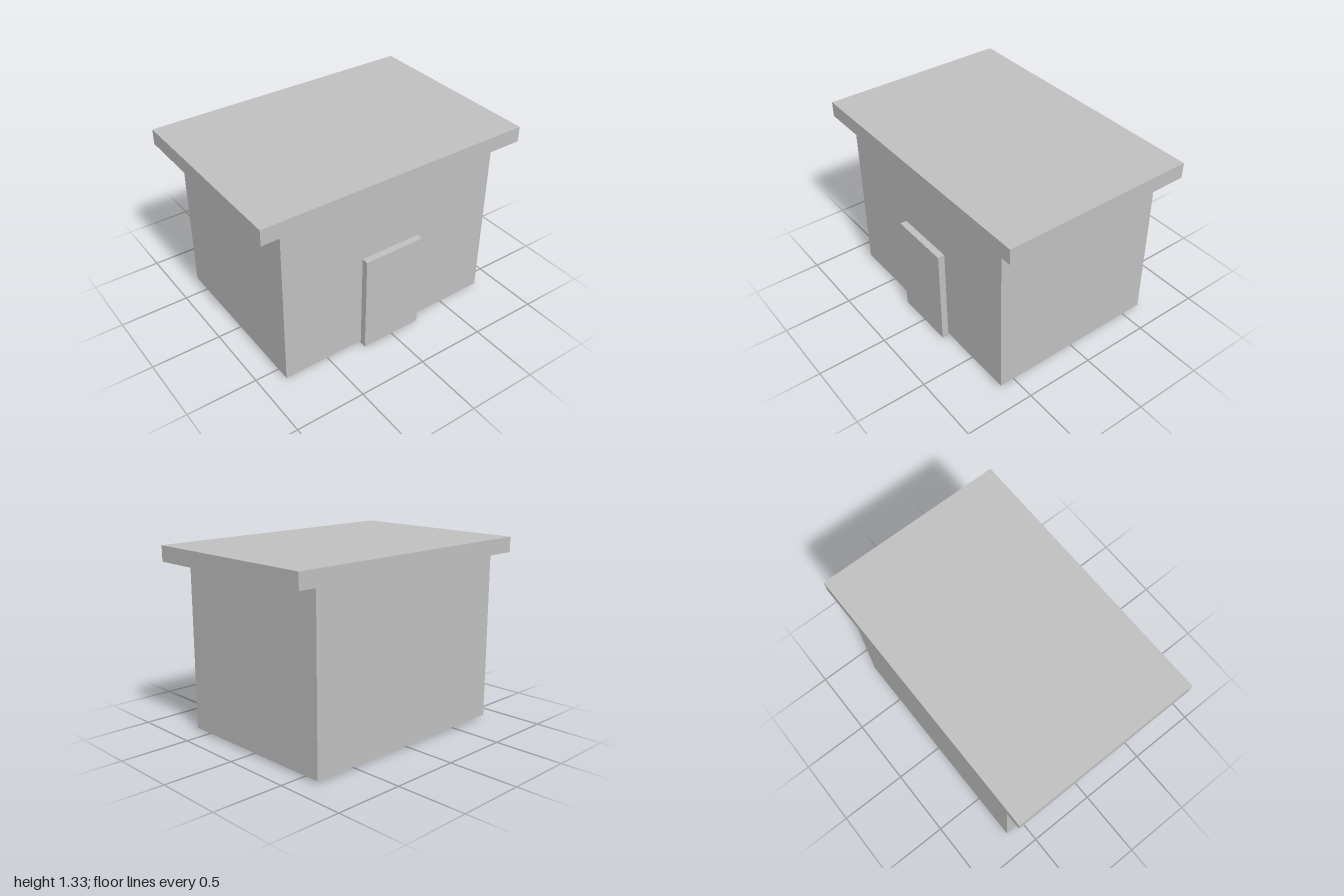
import * as THREE from 'three';

export function createModel() {
  const group = new THREE.Group();
  group.name = 'hut';

  const grey = new THREE.MeshStandardMaterial({ color: 0xc0c0c0 });
  grey.name = 'plain grey';

  // Box given by its minimum and maximum corners
  function addBox(name, min, max) {
    const size = max.map((v, i) => v - min[i]);
    const mesh = new THREE.Mesh(new THREE.BoxGeometry(...size), grey);
    mesh.position.set(...max.map((v, i) => (v + min[i]) / 2));
    mesh.name = name;
    group.add(mesh);
  }

  // Main walls, raised slightly above the ground
  addBox('walls', [-0.64, 0.018, -0.83], [0.614, 1.222, 0.834]);

  // Overhanging flat roof slab
  addBox('roof', [-0.686, 1.22, -1], [0.686, 1.33, 1]);

  // Door block, set deep into the right-hand wall
  addBox('door', [0.21, 0, -0.226], [0.662, 0.73, 0.23]);

  return group;
}
